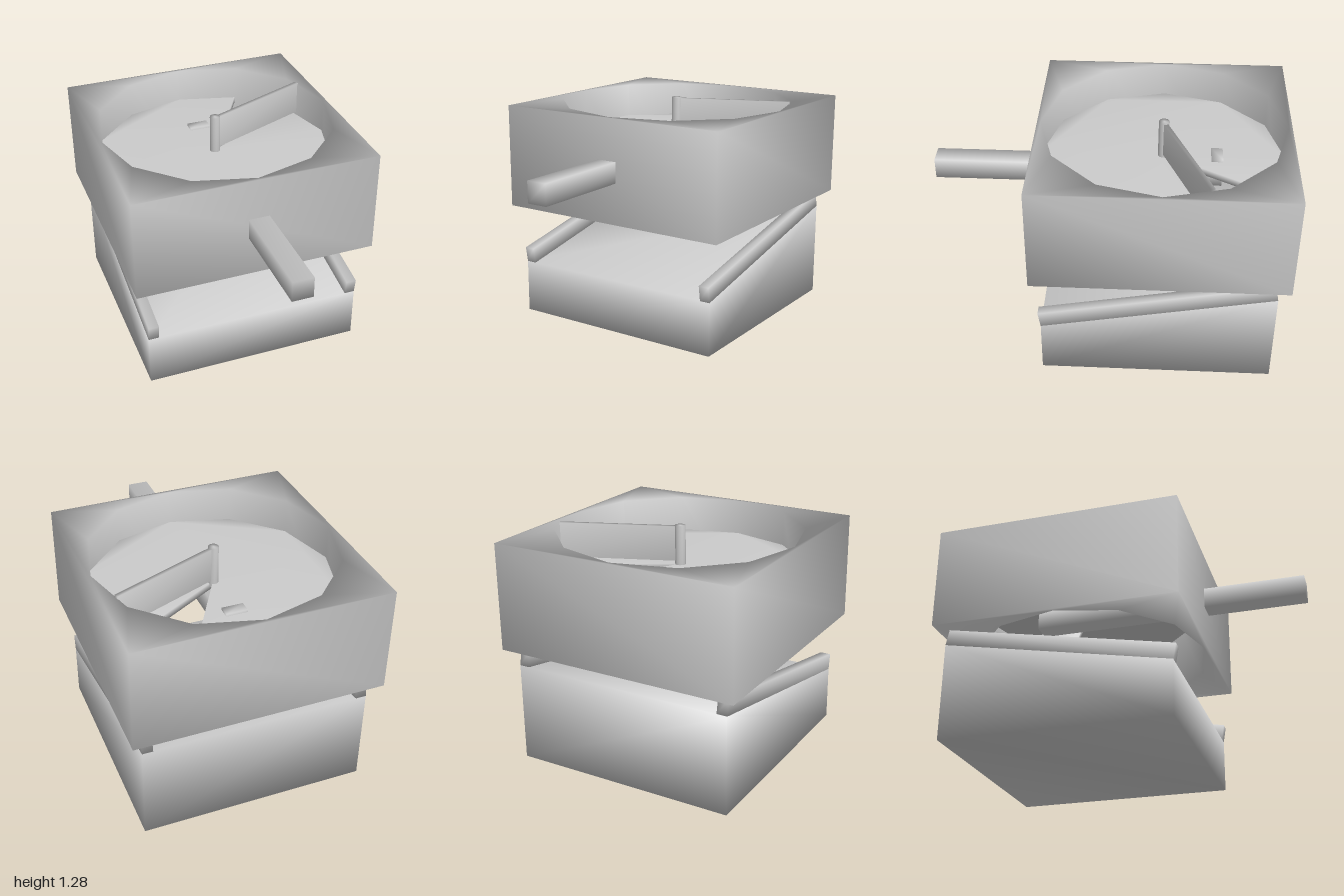
import * as THREE from 'three';
import { mergeVertices } from 'three/addons/utils/BufferGeometryUtils.js';

const material = new THREE.MeshStandardMaterial({ color: 0xcccccc });
const CENTRE_Z = -0.295; // axis of the round chamber
const RADIUS = 0.685;

// Weld corners so that shading runs smoothly over the edges
function soften(geometry) {
  geometry.deleteAttribute('normal');
  geometry.deleteAttribute('uv');
  const welded = mergeVertices(geometry, 1e-4);
  welded.computeVertexNormals();
  return welded;
}

function part(name, geometry) {
  const mesh = new THREE.Mesh(soften(geometry), material);
  mesh.name = name;
  return mesh;
}

// Extrude a (z, y) side profile from x0 to x1
function slab(profile, x0, x1) {
  const shape = new THREE.Shape(profile.map(([z, y]) => new THREE.Vector2(z, y)));
  return new THREE.ExtrudeGeometry(shape, { depth: x1 - x0, bevelEnabled: false })
    .rotateY(-Math.PI / 2)
    .translate(x1, 0, 0);
}

// Extrude a plan shape upwards from y0 to y1 around the chamber axis
function plate(shape, y0, y1) {
  return new THREE.ExtrudeGeometry(shape, { depth: y1 - y0, bevelEnabled: false })
    .rotateX(-Math.PI / 2)
    .translate(0, y0, CENTRE_Z);
}

// Corners of the twelve-sided chamber, counted anticlockwise from +x
function corners(first, last) {
  const points = [];
  for (let i = first; i <= last; i++) {
    const a = (i * Math.PI) / 6;
    points.push(new THREE.Vector2(RADIUS * Math.cos(a), RADIUS * Math.sin(a)));
  }
  return points;
}

export function createModel() {
  const model = new THREE.Group();

  // Base: sloping chute with a rail along each side
  const base = new THREE.Group();
  base.name = 'base';
  base.add(part('chute', slab([[0.36, 0], [0.36, 0.31], [-0.94, 0.56], [-0.94, 0]], -0.64, 0.64)));
  const railProfile = [[0.36, 0.31], [0.375, 0.4], [-0.922, 0.65], [-0.94, 0.56]];
  base.add(part('leftRail', slab(railProfile, 0.58, 0.64)));
  base.add(part('rightRail', slab(railProfile, -0.64, -0.58)));
  model.add(base);

  // Hopper: square block with a twelve-sided bore
  const h = 0.705;
  const block = new THREE.Shape([[-h, -h], [h, -h], [h, h], [-h, h]].map(([x, y]) => new THREE.Vector2(x, y)));
  block.holes.push(new THREE.Path(corners(0, 11).reverse()));
  model.add(part('hopper', plate(block, 0.66, 1.26)));

  // Floor disc with one sector left open as the outlet
  const disc = new THREE.Shape([new THREE.Vector2(0, 0), ...corners(2, 13)]);
  model.add(part('floorDisc', plate(disc, 1.02, 1.06)));

  // Handle rod under the floor, with a small upright end
  model.add(part('handleRod', new THREE.BoxGeometry(0.12, 0.12, 1.63).translate(0, 0.96, 0.185)));
  model.add(part('rodEnd', new THREE.BoxGeometry(0.12, 0.07, 0.065).translate(0, 1.04, -0.598)));

  // Sweeper: axle and thin paddle
  const sweeper = new THREE.Group();
  sweeper.name = 'sweeper';
  sweeper.position.z = CENTRE_Z;
  sweeper.rotation.y = 0.385;
  sweeper.add(part('axle', new THREE.CylinderGeometry(0.03, 0.03, 0.24, 12).translate(0, 1.16, 0)));
  sweeper.add(part('paddle', new THREE.BoxGeometry(0.67, 0.195, 0.025).translate(0.335, 1.177, 0)));
  model.add(sweeper);

  return model;
}
